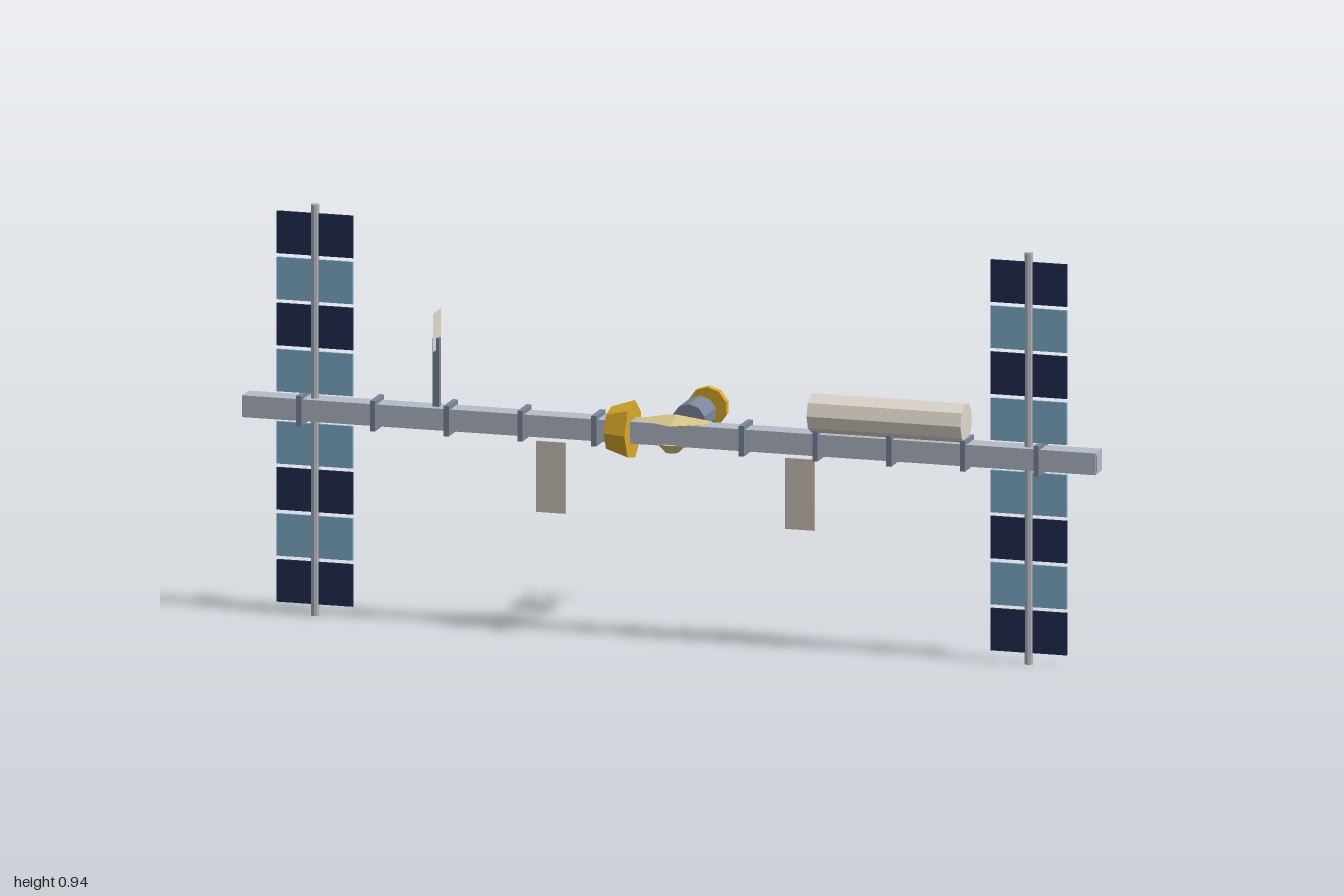
import * as THREE from 'three';
import { ConvexGeometry } from 'three/addons/geometries/ConvexGeometry.js';

export function createModel() {
  const root = new THREE.Group();
  const mat = (name, color, side = THREE.FrontSide) => {
    const m = new THREE.MeshStandardMaterial({ color, side, flatShading: true });
    m.name = name;
    return m;
  };
  const trussGrey = mat('trussGrey', 0xb4bcc8);
  const slate = mat('slate', 0x7c879a);
  const mastGrey = mat('mastGrey', 0xb2b5bc);
  const navy = mat('navy', 0x1f2b50);
  const skyBlue = mat('skyBlue', 0x80aece);
  const gold = mat('gold', 0xd9a92c);
  const paleGold = mat('paleGold', 0xd8c488);
  const hull = mat('hullWhite', 0xdfd8cd, THREE.DoubleSide);
  const radiatorGrey = mat('radiatorGrey', 0xcdc6bc);

  const CY = 0.475, CZ = 0.1; // truss axis
  const add = (name, geo, material, x = 0, y = 0, z = 0, parent = root) => {
    const mesh = new THREE.Mesh(geo, material);
    mesh.name = name;
    mesh.position.set(x, y, z);
    parent.add(mesh);
    return mesh;
  };
  const box = (w, h, d) => new THREE.BoxGeometry(w, h, d);

  // Main truss with end caps and collars
  add('truss', box(1.996, 0.05, 0.05), trussGrey, 0, CY, CZ);
  for (const s of [-1, 1]) add('trussEndCap', box(0.004, 0.04, 0.04), trussGrey, s * 0.998, CY, CZ);
  for (let i = -5; i <= 5; i++) {
    if (i !== 0) add('trussCollar', box(0.012, 0.07, 0.07), slate, i * 0.1725, CY, CZ);
  }

  // Solar wings: a mast with two columns of alternating cells
  for (const s of [-1, 1]) {
    const wing = new THREE.Group();
    wing.name = 'solarWing';
    wing.position.set(s * 0.835, 0, CZ);
    root.add(wing);
    add('wingMast', new THREE.CylinderGeometry(0.01, 0.01, 0.945, 8), mastGrey, 0, 0.4725, 0, wing);
    for (let row = 0; row < 4; row++) {
      const material = row % 2 ? navy : skyBlue;
      const dy = 0.083 + row * 0.1058;
      for (const up of [-1, 1]) for (const side of [-1, 1]) {
        add('solarCell', box(0.084, 0.097, 0.006), material, side * 0.047, CY + up * dy, 0, wing);
      }
    }
  }

  // Hanging radiators
  for (const s of [-1, 1]) add('radiator', box(0.069, 0.163, 0.006), radiatorGrey, s * 0.291, 0.348, 0.073);

  // Antenna: post with a thin upright reflector facing sideways
  add('antennaPost', box(0.015, 0.16, 0.015), slate, -0.55, 0.577, CZ);
  const reflector = new THREE.PlaneGeometry(0.062, 0.088).rotateY(Math.PI / 2);
  add('antennaReflector', reflector, hull, -0.55, 0.674, CZ);

  // Faceted gold node around the truss
  const node = new THREE.CylinderGeometry(0.05, 0.068, 0.054, 7).rotateZ(Math.PI / 2);
  add('goldNode', node, gold, -0.118, CY, CZ);

  // Tilted five-sided hub plate with a small boss under the truss
  const v = (x, y, z) => new THREE.Vector3(x, y, z);
  add('hubPlate', new ConvexGeometry([
    v(-0.09, 0.503, 0.105), v(-0.03, 0.497, 0.015), v(0.08, 0.497, 0.055), v(0.085, 0.503, 0.115),
    v(0.02, 0.51, 0.188), v(0.01, 0.518, 0.1), v(0, 0.488, 0.1),
  ]), paleGold);
  add('hubBoss', new THREE.CylinderGeometry(0.036, 0.016, 0.022, 8), paleGold, 0, 0.442, CZ);

  // Rear module and its gold end disc
  const along = (r, len, n) => new THREE.CylinderGeometry(r, r, len, n).rotateX(Math.PI / 2);
  add('rearModule', along(0.039, 0.09, 10), slate, 0, 0.474, -0.073);
  add('rearDisc', along(0.046, 0.018, 10), gold, 0, 0.474, -0.181);

  // Long white tank, pinched at the middle of its lower back
  const N = 9;
  const tank = new THREE.CylinderGeometry(0.045, 0.045, 0.36, N, 2).rotateZ(Math.PI / 2);
  const p = tank.attributes.position;
  for (let i = 0; i < p.count; i++) {
    if (Math.abs(p.getX(i)) < 0.01 && p.getZ(i) < -0.01 && p.getY(i) < 0.03) {
      p.setXYZ(i, -0.03, p.getY(i) * 0.7, p.getZ(i) * 0.55);
    }
  }
  tank.computeVertexNormals();
  add('tank', tank, hull, 0.51, 0.546, 0.106);
  add('tankFitting', new THREE.OctahedronGeometry(0.019), paleGold, 0.455, 0.532, 0.08);

  return root;
}
